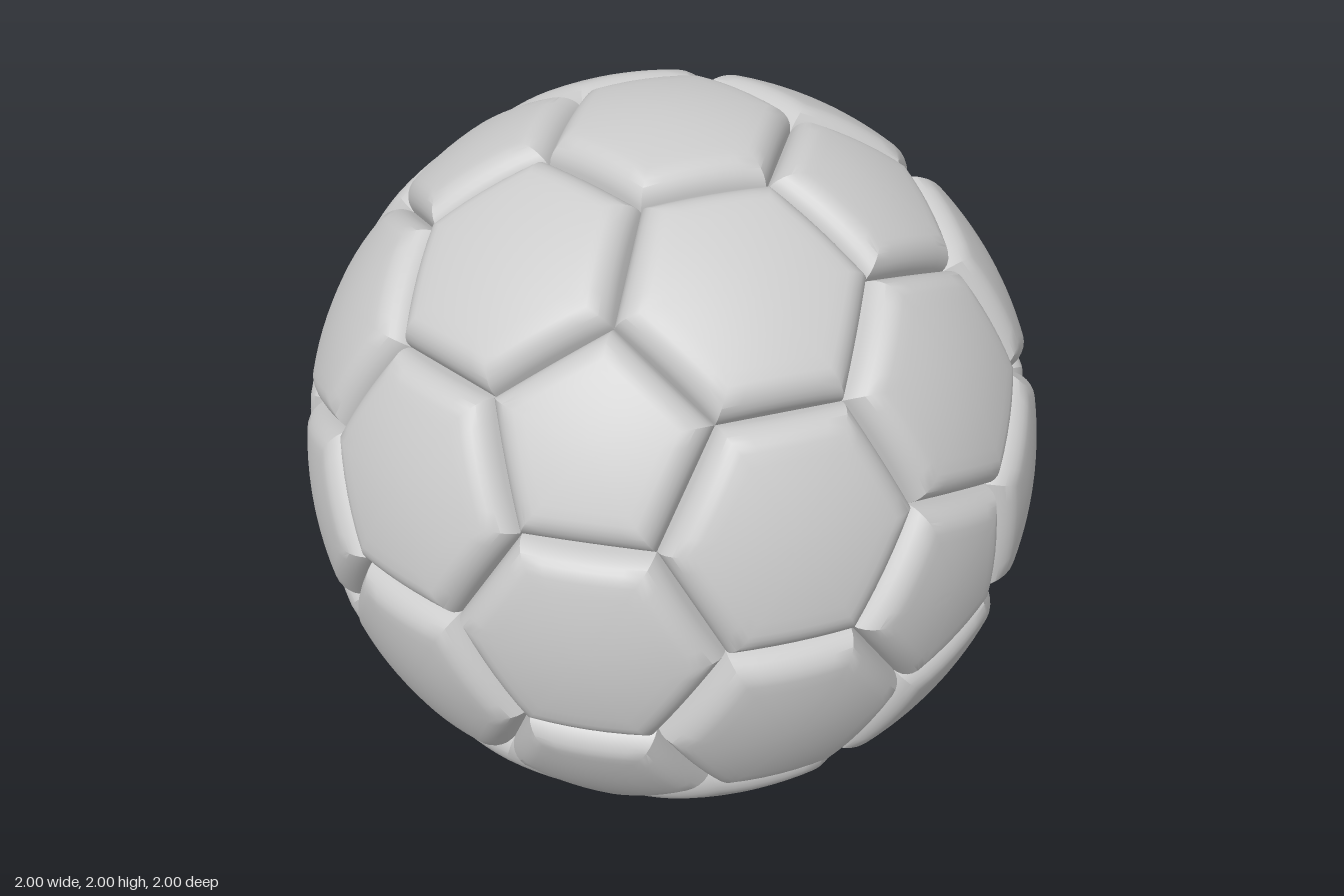
import * as THREE from 'three';
import { toCreasedNormals } from 'three/addons/utils/BufferGeometryUtils.js';

const GROOVE = 0.936; // radius of the seam corners
const ROUND = 0.055;  // rounding of the panel rims
const SUB = 6;        // segments along each panel side

const mix = (...v) => v.reduce((sum, p) => sum.add(p), new THREE.Vector3()).normalize();

// Sorts corner directions counter-clockwise around the panel normal n
function sortAround(n, corners) {
  const u = corners[0].clone().addScaledVector(n, -corners[0].dot(n)).normalize();
  const w = n.clone().cross(u);
  const angle = (p) => Math.atan2(p.dot(w), p.dot(u));
  return [...corners].sort((a, b) => angle(a) - angle(b));
}

// Padded panel: straight wall along n, rounded rim, spherical dome of radius 1
function panelGeometry(n, corners) {
  const ring = sortAround(n, corners).map((c) => c.clone().multiplyScalar(GROOVE));
  const outline = [];
  ring.forEach((p, i) => {
    const q = ring[(i + 1) % ring.length];
    for (let k = 0; k < SUB; k++) outline.push(p.clone().lerp(q, k / SUB));
  });
  const mid = ring[0].clone().lerp(ring[1], 0.5);
  const apothem = mid.addScaledVector(n, -mid.dot(n)).length();

  // Cross-section steps: [lateral scale, drop below the dome]
  const steps = [];
  for (let k = 0; k <= 6; k++) {
    const a = (k / 6) * Math.PI / 2;
    steps.push([1 - ROUND * (1 - Math.cos(a)) / apothem, ROUND * (1 - Math.sin(a))]);
  }
  const inner = steps[6][0];
  for (let k = 1; k <= 7; k++) steps.push([inner * (1 - k / 7), 0]);

  const pos = [], index = [];
  outline.forEach((p) => pos.push(p.x, p.y, p.z));
  for (const [s, drop] of steps) {
    for (const p of outline) {
      const v = p.clone().addScaledVector(n, -p.dot(n)).multiplyScalar(s);
      v.addScaledVector(n, Math.sqrt(1 - v.lengthSq()) - drop);
      pos.push(v.x, v.y, v.z);
    }
  }
  const m = outline.length;
  for (let r = 0; r < steps.length; r++) {
    for (let i = 0; i < m; i++) {
      const a = r * m + i, b = r * m + (i + 1) % m;
      index.push(a, b, a + m);
      if (r < steps.length - 1) index.push(b, b + m, a + m);
    }
  }
  const geo = new THREE.BufferGeometry();
  geo.setAttribute('position', new THREE.Float32BufferAttribute(pos, 3));
  geo.setIndex(index);
  return toCreasedNormals(geo, 0.6);
}

export function createModel() {
  const ball = new THREE.Group();
  ball.name = 'ball';
  const material = new THREE.MeshStandardMaterial({ color: 0xcccccc });
  const addPanel = (name, n, corners) => {
    const mesh = new THREE.Mesh(panelGeometry(n, corners), material);
    mesh.name = name;
    mesh.position.y = 1;
    ball.add(mesh);
  };

  // Twelve pentagon centres (icosahedron corners)
  const phi = (1 + Math.sqrt(5)) / 2;
  const poles = [];
  for (const a of [-1, 1]) {
    for (const b of [-phi, phi]) {
      for (const c of [[0, a, b], [a, b, 0], [b, 0, a]]) {
        poles.push(new THREE.Vector3(...c).normalize());
      }
    }
  }
  const near = (p, q) => p !== q && p.dot(q) > 0.4;
  const cornerNear = (f, g, k) => mix(f, mix(f, g), mix(f, k));

  poles.forEach((f, i) => {
    // Pentagon panels
    const around = sortAround(f, poles.filter((p) => near(f, p)));
    addPanel('pentagonPanel', f, around.map((g, j) => cornerNear(f, g, around[(j + 1) % 5])));

    // Hexagon panels between neighbouring pentagons
    poles.slice(i + 1).filter((g) => near(f, g)).forEach((g) => {
      const sides = poles.filter((k) => near(f, k) && near(g, k));
      const corners = sides.flatMap((k) => [mix(f, g, k), cornerNear(f, g, k), cornerNear(g, f, k)]);
      addPanel('hexagonPanel', mix(f, g), corners);
    });
  });
  return ball;
}
